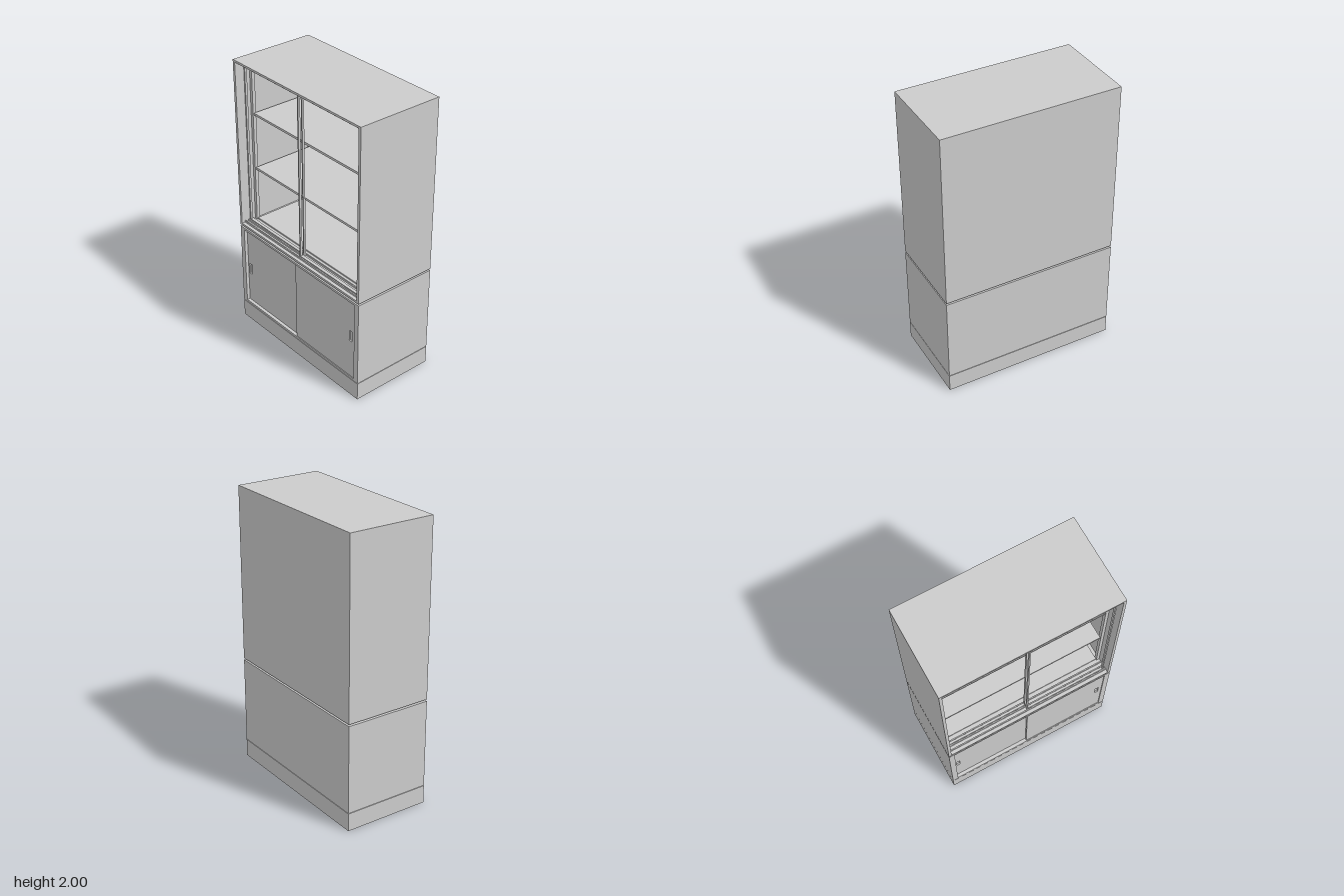
import * as THREE from 'three';

const material = new THREE.MeshStandardMaterial({ color: 0xcccccc });

// Box given by its bounds on each axis
function slab(parent, name, [x0, x1], [y0, y1], [z0, z1]) {
  const mesh = new THREE.Mesh(new THREE.BoxGeometry(x1 - x0, y1 - y0, z1 - z0), material);
  mesh.position.set((x0 + x1) / 2, (y0 + y1) / 2, (z0 + z1) / 2);
  mesh.name = name;
  parent.add(mesh);
  return mesh;
}

function group(parent, name) {
  const g = new THREE.Group();
  g.name = name;
  parent.add(g);
  return g;
}

const W = 0.62, D = 0.31;

// Open-fronted carcass: two sides, top, bottom and back
function carcass(parent, y0, y1, side, edge) {
  for (const s of [-1, 1]) {
    const xs = s < 0 ? [-W, -W + side] : [W - side, W];
    slab(parent, 'sidePanel', xs, [y0, y1], [-D, D]);
  }
  const xs = [-W + side, W - side];
  slab(parent, 'bottomPanel', xs, [y0, y0 + edge], [-D, D]);
  slab(parent, 'topPanel', xs, [y1 - edge, y1], [-D, D]);
  slab(parent, 'backPanel', xs, [y0 + edge, y1 - edge], [-D, -D + 0.012]);
}

function rectPath(path, x0, x1, y0, y1) {
  path.moveTo(x0, y0);
  path.lineTo(x1, y0);
  path.lineTo(x1, y1);
  path.lineTo(x0, y1);
  path.closePath();
  return path;
}

// Sliding door with a recessed finger pull
function slidingDoor(parent, name, x0, x1, z, pullX, pullY) {
  const door = group(parent, name);
  const shape = rectPath(new THREE.Shape(), x0, x1, 0.147, 0.735);
  shape.holes.push(rectPath(new THREE.Path(), pullX - 0.013, pullX + 0.013, pullY - 0.04, pullY + 0.04));
  const panel = new THREE.Mesh(
    new THREE.ExtrudeGeometry(shape, { depth: 0.014, bevelEnabled: false }), material);
  panel.name = 'doorPanel';
  panel.position.z = z - 0.014;
  door.add(panel);
  slab(door, 'fingerPull', [pullX - 0.016, pullX + 0.016], [pullY - 0.043, pullY + 0.043], [z - 0.018, z - 0.01]);
}

export function createModel() {
  const model = new THREE.Group();
  model.name = 'displayCabinet';

  // Plinth: thin walls, open underneath
  const plinth = group(model, 'plinth');
  const t = 0.006;
  for (const s of [-1, 1]) {
    slab(plinth, 'plinthSide', s < 0 ? [-W, -W + t] : [W - t, W], [0, 0.127], [-D, D]);
    slab(plinth, 'plinthRail', [-W + t, W - t], [0, 0.127], s < 0 ? [-D, -D + t] : [D - t, D]);
  }
  slab(plinth, 'plinthTop', [-W + t, W - t], [0.122, 0.132], [-D + t, D - t]);

  // Lower cupboard with two solid sliding doors
  const lower = group(model, 'lowerCupboard');
  carcass(lower, 0.131, 0.752, 0.04, 0.016);
  slidingDoor(lower, 'rightDoor', -0.58, 0.0, 0.286, -0.554, 0.415);
  slidingDoor(lower, 'leftDoor', -0.02, 0.58, 0.304, 0.541, 0.47);

  // Upper display case
  const upper = group(model, 'upperCase');
  carcass(upper, 0.765, 2, 0.02, 0.015);

  // Sliding tracks along the opening, top and bottom
  const tracks = group(upper, 'tracks');
  for (const z of [0.222, 0.252, 0.282]) {
    slab(tracks, 'bottomTrack', [-0.6, 0.6], [0.78, 0.793], [z - 0.004, z + 0.004]);
    slab(tracks, 'topTrack', [-0.6, 0.6], [1.966, 1.985], [z - 0.004, z + 0.004]);
  }

  // Door frames: the right one runs in the rear track
  for (const [name, x0, x1, z] of [['rightGlassFrame', -0.595, 0, 0.237], ['leftGlassFrame', -0.01, 0.585, 0.267]]) {
    const frame = group(upper, name);
    const zs = [z - 0.008, z + 0.008];
    slab(frame, 'stile', [x0, x0 + 0.01], [0.785, 1.98], zs);
    slab(frame, 'stile', [x1 - 0.01, x1], [0.785, 1.98], zs);
    slab(frame, 'bottomRail', [x0 + 0.01, x1 - 0.01], [0.785, 0.797], zs);
    slab(frame, 'topRail', [x0 + 0.01, x1 - 0.01], [1.966, 1.98], zs);
  }

  // Shelf supports in the four inner corners
  for (const s of [-1, 1]) {
    for (const z of [-0.285, 0.185]) {
      slab(upper, 'shelfPost', s < 0 ? [-0.6, -0.578] : [0.578, 0.6], [0.78, 1.985], [z - 0.012, z + 0.012]);
    }
  }

  // Shelves
  for (const y of [1.18, 1.588]) {
    slab(upper, 'shelf', [-0.578, 0.578], [y - 0.008, y + 0.008], [-0.285, 0.19]);
  }
  slab(upper, 'caseFloor', [-0.578, 0.578], [0.78, 0.79], [-0.298, 0.19]);

  return model;
}
